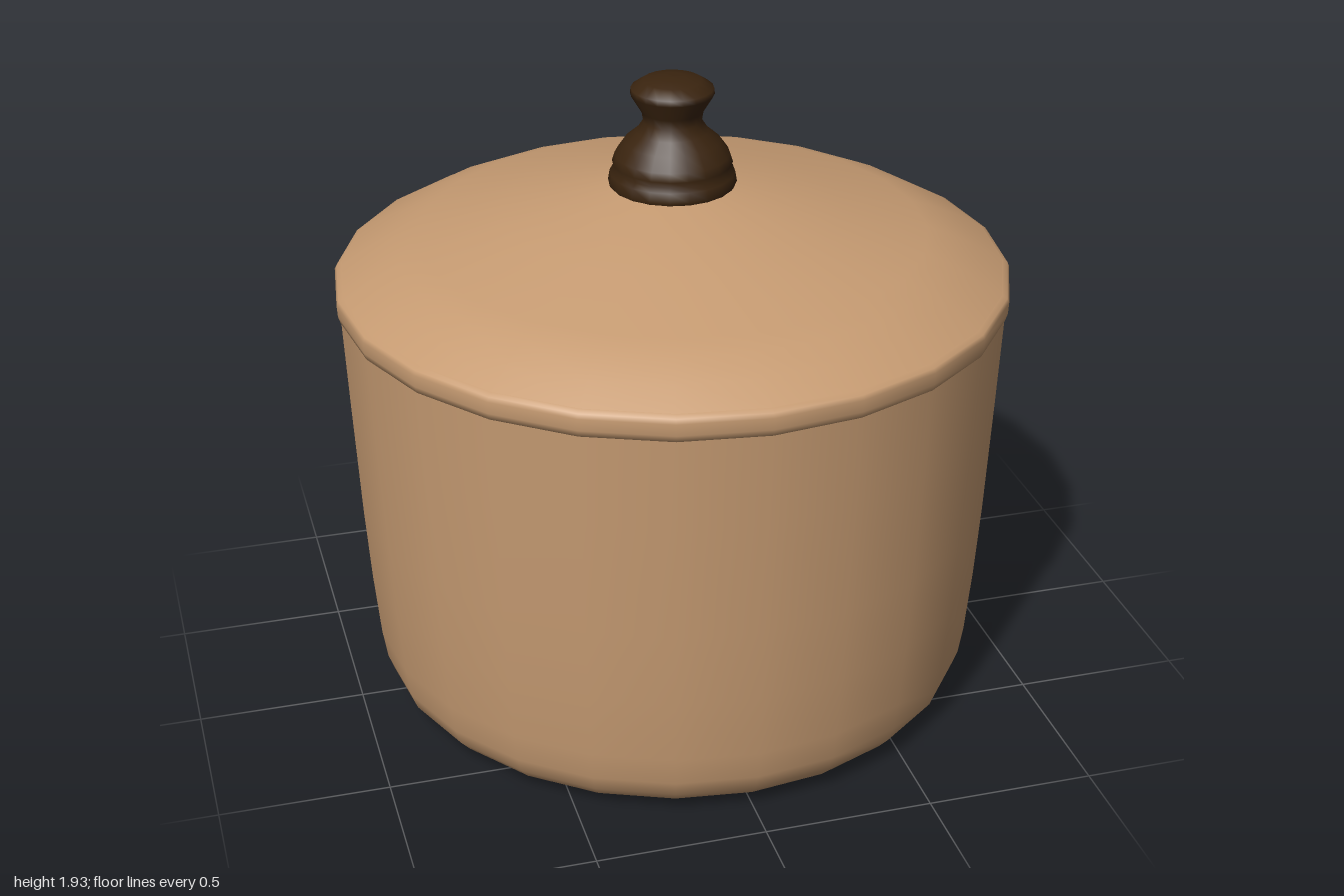
import * as THREE from 'three';

export function createModel() {
  const group = new THREE.Group();
  const clay = new THREE.MeshStandardMaterial({ color: 0xc69b72 });
  clay.name = 'tan clay';
  const wood = new THREE.MeshStandardMaterial({ color: 0x3a240f });
  wood.name = 'dark wood';

  // Turn a profile of [radius, height] points, listed so that faces point outward
  const turn = (name, profile, sides, material) => {
    const points = profile.map(([r, y]) => new THREE.Vector2(r, y));
    const mesh = new THREE.Mesh(new THREE.LatheGeometry(points, sides), material);
    mesh.name = name;
    group.add(mesh);
  };

  // Tapered pot with a rounded foot
  turn('potBody', [
    [0, 0], [0.7, 0.01], [0.79, 0.02], [0.86, 0.04], [0.895, 0.08], [0.913, 0.13],
    [0.927, 0.22], [0.945, 0.42], [0.96, 0.65], [0.977, 1.0], [0.99, 1.29],
  ], 24, clay);

  // Rounded lip of the lid overlapping the pot
  turn('lidRim', [
    [0.97, 1.275], [0.992, 1.28], [0.998, 1.3], [1.0, 1.335], [0.994, 1.348], [0.978, 1.356],
  ], 24, clay);

  // Shallow domed lid
  turn('lid', [
    [0.978, 1.356], [0.9, 1.402], [0.82, 1.44], [0.75, 1.464], [0.5, 1.53], [0.18, 1.608], [0, 1.62],
  ], 24, clay);

  // Turned knob: foot, bulb, neck and flared cap
  turn('knob', [
    [0.178, 1.6], [0.188, 1.615], [0.183, 1.645], [0.168, 1.657], [0.176, 1.675], [0.168, 1.7],
    [0.14, 1.74], [0.105, 1.77], [0.085, 1.8], [0.09, 1.83], [0.122, 1.883], [0.12, 1.9],
    [0.085, 1.923], [0.04, 1.93], [0, 1.932],
  ], 20, wood);

  return group;
}
